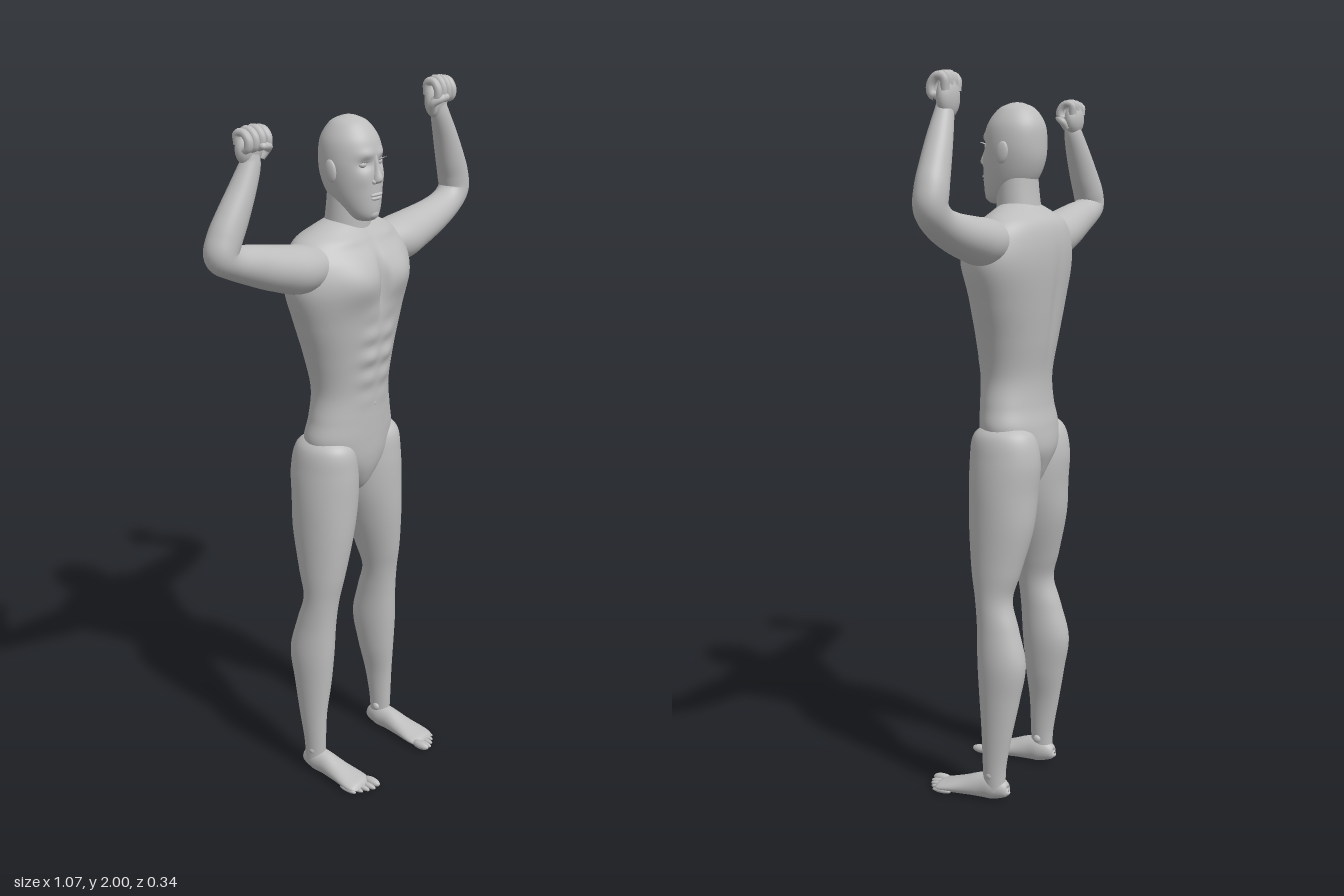
import * as THREE from 'three';

const skin = new THREE.MeshStandardMaterial({ color: 0xbdbdbd });
skin.name = 'grey skin';

const V = (x, y, z) => new THREE.Vector3(x, y, z);
const gauss = (d, w) => Math.exp(-(d * d) / (w * w));

// Smooth body loft. Each section: [x, y, z, half width across the path, half depth in z]
function loft(sections, rows, sides, shape) {
  const centre = new THREE.CatmullRomCurve3(sections.map(s => V(s[0], s[1], s[2])), false, 'catmullrom', 0.5);
  const radii = new THREE.CatmullRomCurve3(sections.map(s => V(s[3], s[4], 0)), false, 'catmullrom', 0.5);
  const pos = [], idx = [];
  for (let i = 0; i <= rows; i++) {
    const c = centre.getPoint(i / rows), r = radii.getPoint(i / rows);
    const t = centre.getTangent(i / rows).setZ(0).normalize();
    const a = Math.max(r.x, 0.0005), b = Math.max(r.y, 0.0005);
    for (let j = 0; j < sides; j++) {
      const q = j / sides * Math.PI * 2;
      const p = V(c.x + t.y * a * Math.cos(q), c.y - t.x * a * Math.cos(q), c.z + b * Math.sin(q));
      if (shape) shape(p, Math.sin(q));
      pos.push(p.x, p.y, p.z);
      if (i < rows) {
        const k = i * sides, n = (j + 1) % sides;
        idx.push(k + j, k + sides + j, k + n, k + n, k + sides + j, k + sides + n);
      }
    }
  }
  const g = new THREE.BufferGeometry();
  g.setAttribute('position', new THREE.Float32BufferAttribute(pos, 3));
  g.setIndex(idx);
  g.computeVertexNormals();
  return g;
}

function add(parent, name, geometry) {
  const m = new THREE.Mesh(geometry, skin);
  m.name = name;
  parent.add(m);
  return m;
}

function blob(parent, name, x, y, z, rx, ry, rz) {
  const m = add(parent, name, new THREE.SphereGeometry(1, 20, 14));
  m.position.set(x, y, z);
  m.scale.set(rx, ry, rz);
  return m;
}

// Chest, breastbone groove and stomach muscles pushed into the front
function muscles(p, front) {
  if (front < 0) {
    p.z += 0.006 * gauss(p.x, 0.02) * gauss(p.y - 1.4, 0.15);
    return;
  }
  const ax = Math.abs(p.x);
  const chest = 0.024 * gauss(ax - 0.085, 0.075) * gauss(p.y - 1.52, 0.06);
  const groove = 0.02 * gauss(p.x, 0.012) * gauss(p.y - 1.51, 0.07);
  const abs = gauss(ax - 0.035, 0.032) * gauss(p.y - 1.3, 0.1) * 0.005 * (1 + Math.cos((p.y - 1.3) * 2 * Math.PI / 0.065));
  const collar = 0.006 * gauss(ax - 0.09, 0.06) * gauss(p.y - 1.625, 0.014);
  p.z += front * (chest - groove + abs + collar);
}

function buildTorso(body) {
  add(body, 'torso', loft([
    [0, 0.87, -0.05, 0.01, 0.02], [0, 0.9, -0.05, 0.035, 0.06], [0, 0.95, -0.05, 0.085, 0.085],
    [0, 1.0, -0.052, 0.135, 0.098], [0, 1.06, -0.048, 0.155, 0.097], [0, 1.12, -0.042, 0.142, 0.092],
    [0, 1.2, -0.04, 0.13, 0.092], [0, 1.3, -0.043, 0.152, 0.104], [0, 1.4, -0.045, 0.188, 0.115],
    [0, 1.5, -0.047, 0.222, 0.123], [0, 1.57, -0.052, 0.212, 0.117], [0, 1.62, -0.06, 0.178, 0.095],
    [0, 1.65, -0.055, 0.12, 0.068], [0, 1.675, -0.05, 0.05, 0.04],
  ], 130, 96, muscles));
  blob(body, 'navel', 0, 1.16, 0.048, 0.006, 0.008, 0.004);
}

function buildHead(body) {
  const head = new THREE.Group();
  head.name = 'head';
  body.add(head);
  add(head, 'neck', loft([
    [0, 1.58, -0.05, 0.075, 0.07], [0, 1.64, -0.047, 0.068, 0.062],
    [0, 1.7, -0.043, 0.064, 0.058], [0, 1.76, -0.04, 0.06, 0.056],
  ], 16, 40));
  // Skull with hollow eye sockets and a brow ridge
  add(head, 'skull', loft([
    [0, 1.667, 0.01, 0.002, 0.003], [0, 1.672, 0.008, 0.026, 0.032], [0, 1.69, 0, 0.045, 0.052],
    [0, 1.73, -0.02, 0.064, 0.075], [0, 1.78, -0.032, 0.077, 0.086], [0, 1.83, -0.036, 0.082, 0.087],
    [0, 1.88, -0.038, 0.075, 0.08], [0, 1.92, -0.04, 0.05, 0.053], [0, 1.936, -0.04, 0.02, 0.022],
    [0, 1.94, -0.04, 0.001, 0.001],
  ], 80, 64, (p, front) => {
    if (front <= 0) return;
    const ax = Math.abs(p.x);
    p.z += front * (0.006 * gauss(ax - 0.03, 0.025) * gauss(p.y - 1.848, 0.012)
      - 0.012 * gauss(ax - 0.033, 0.018) * gauss(p.y - 1.822, 0.014)
      + 0.004 * gauss(ax - 0.045, 0.02) * gauss(p.y - 1.785, 0.02));
  }));
  // Nose and mouth
  add(head, 'nose', loft([
    [0, 1.768, 0.045, 0.004, 0.004], [0, 1.774, 0.052, 0.014, 0.013], [0, 1.785, 0.054, 0.013, 0.017],
    [0, 1.81, 0.048, 0.008, 0.013], [0, 1.845, 0.043, 0.007, 0.008],
  ], 20, 20));
  blob(head, 'upperLip', 0, 1.742, 0.052, 0.024, 0.005, 0.009);
  blob(head, 'lowerLip', 0, 1.732, 0.05, 0.021, 0.006, 0.009);
  blob(head, 'chin', 0, 1.69, 0.038, 0.022, 0.016, 0.016);
  for (const s of [1, -1]) {
    blob(head, 'nostril', s * 0.012, 1.776, 0.05, 0.007, 0.007, 0.01);
    blob(head, 'eye', s * 0.033, 1.822, 0.031, 0.014, 0.009, 0.01);
    blob(head, 'ear', s * 0.083, 1.805, -0.035, 0.008, 0.03, 0.018).rotation.x = -0.15;
    // Short lashes along the upper lid
    for (const k of [-1, 0, 1]) {
      const lash = add(head, 'eyelash', new THREE.ConeGeometry(0.0025, 0.022, 6));
      lash.position.set(s * (0.035 + k * 0.01), 1.831, 0.045 - k * 0.003);
      lash.rotation.set(1.2, 0, -s * k * 0.3);
    }
  }
}

// Closed fist with four curled fingers and a crossing thumb
function buildFist(body, name, s, x, y, height) {
  const fist = new THREE.Group();
  fist.name = name;
  fist.position.set(x, y, -0.032);
  fist.scale.set(s, height, 1);
  blob(fist, 'palm', 0, -0.005, -0.006, 0.044, 0.052, 0.025);
  for (let i = 0; i < 4; i++) {
    const dx = -0.034 + i * 0.0225, top = 0.052 - Math.abs(i - 1.3) * 0.004;
    const path = new THREE.CatmullRomCurve3([
      V(dx * 0.9, 0.01, -0.014), V(dx, top - 0.004, -0.012), V(dx, top, 0.008),
      V(dx, top - 0.02, 0.024), V(dx, 0.002, 0.022), V(dx, -0.004, 0.01),
    ]);
    add(fist, 'finger', new THREE.TubeGeometry(path, 20, 0.0115, 10));
    blob(fist, 'knuckle', dx, top + 0.001, -0.004, 0.011, 0.011, 0.013);
  }
  const thumb = new THREE.CatmullRomCurve3([
    V(-0.03, -0.035, 0.004), V(-0.042, -0.012, 0.014), V(-0.03, 0, 0.029), V(-0.008, 0.004, 0.032),
  ]);
  add(fist, 'thumb', new THREE.TubeGeometry(thumb, 16, 0.011, 10));
  blob(fist, 'thumbTip', -0.008, 0.004, 0.032, 0.011, 0.011, 0.011);
  body.add(fist);
}

function buildArms(body) {
  add(body, 'leftArm', loft([
    [0.1, 1.575, -0.045, 0.045, 0.055], [0.2, 1.572, -0.04, 0.063, 0.07], [0.28, 1.583, -0.042, 0.059, 0.065],
    [0.38, 1.604, -0.044, 0.05, 0.053], [0.45, 1.63, -0.045, 0.044, 0.046], [0.487, 1.665, -0.045, 0.046, 0.044],
    [0.482, 1.708, -0.045, 0.046, 0.044], [0.462, 1.755, -0.042, 0.043, 0.041], [0.43, 1.825, -0.038, 0.035, 0.035],
    [0.4, 1.885, -0.034, 0.028, 0.027], [0.388, 1.92, -0.032, 0.022, 0.02],
  ], 90, 40));
  add(body, 'rightArm', loft([
    [-0.1, 1.57, -0.045, 0.045, 0.055], [-0.2, 1.568, -0.04, 0.064, 0.07], [-0.29, 1.588, -0.042, 0.06, 0.065],
    [-0.38, 1.615, -0.044, 0.052, 0.053], [-0.45, 1.636, -0.045, 0.043, 0.046], [-0.487, 1.66, -0.045, 0.044, 0.044],
    [-0.474, 1.7, -0.045, 0.045, 0.044], [-0.45, 1.745, -0.042, 0.043, 0.041], [-0.415, 1.81, -0.038, 0.035, 0.035],
    [-0.39, 1.865, -0.034, 0.028, 0.027], [-0.386, 1.895, -0.032, 0.022, 0.02],
  ], 90, 40));
  buildFist(body, 'leftFist', 1, 0.383, 1.938, 1);
  buildFist(body, 'rightFist', -1, -0.385, 1.912, 0.85);
}

function buildLeg(body, s) {
  const side = s > 0 ? 'left' : 'right';
  add(body, side + 'Leg', loft([
    [0.1, 1.075, -0.05, 0.03, 0.045], [0.1, 1.04, -0.05, 0.07, 0.088], [0.098, 0.97, -0.053, 0.086, 0.101],
    [0.101, 0.88, -0.05, 0.09, 0.098], [0.112, 0.78, -0.048, 0.08, 0.092], [0.128, 0.66, -0.04, 0.061, 0.071],
    [0.136, 0.58, -0.037, 0.05, 0.054], [0.141, 0.5, -0.052, 0.05, 0.061], [0.146, 0.4, -0.066, 0.054, 0.071],
    [0.15, 0.3, -0.062, 0.046, 0.06], [0.157, 0.2, -0.057, 0.034, 0.046], [0.158, 0.1, -0.05, 0.028, 0.035],
    [0.158, 0.03, -0.05, 0.026, 0.032],
  ].map(r => [s * r[0], ...r.slice(1)]), 110, 48));

  const foot = new THREE.Group();
  foot.name = side + 'Foot';
  foot.position.x = s * 0.155;
  // Lofted heel to ball, then turned to point forward; the sole is flattened
  const sole = loft([
    [-0.092, 0.03, 0, 0.002, 0.002], [-0.086, 0.03, 0, 0.02, 0.018], [-0.05, 0.036, 0, 0.037, 0.03],
    [-0.01, 0.034, 0, 0.036, 0.031], [0.04, 0.025, 0, 0.027, 0.037], [0.09, 0.017, 0, 0.018, 0.044],
    [0.12, 0.012, 0, 0.013, 0.042], [0.132, 0.01, 0, 0.003, 0.03],
  ], 50, 36, p => { p.y = Math.max(p.y, 0.003); });
  add(foot, 'instep', sole).rotation.y = -Math.PI / 2;
  for (const f of [1, -1]) blob(foot, 'ankleBone', f * 0.024, 0.075, -0.045, 0.008, 0.012, 0.012);
  // Toes, largest on the inside
  for (let i = 0; i < 5; i++) {
    const r = i ? 0.009 - i * 0.0004 : 0.013;
    const reach = [0.168, 0.166, 0.158, 0.147, 0.134][i];
    blob(foot, 'toe', s * (-0.033 + i * 0.0175), r, reach - 0.03, r, r, 0.03);
  }
  body.add(foot);
}

export function createModel() {
  const body = new THREE.Group();
  body.name = 'athleticFigure';
  buildTorso(body);
  buildHead(body);
  buildArms(body);
  for (const s of [1, -1]) buildLeg(body, s);
  return body;
}
